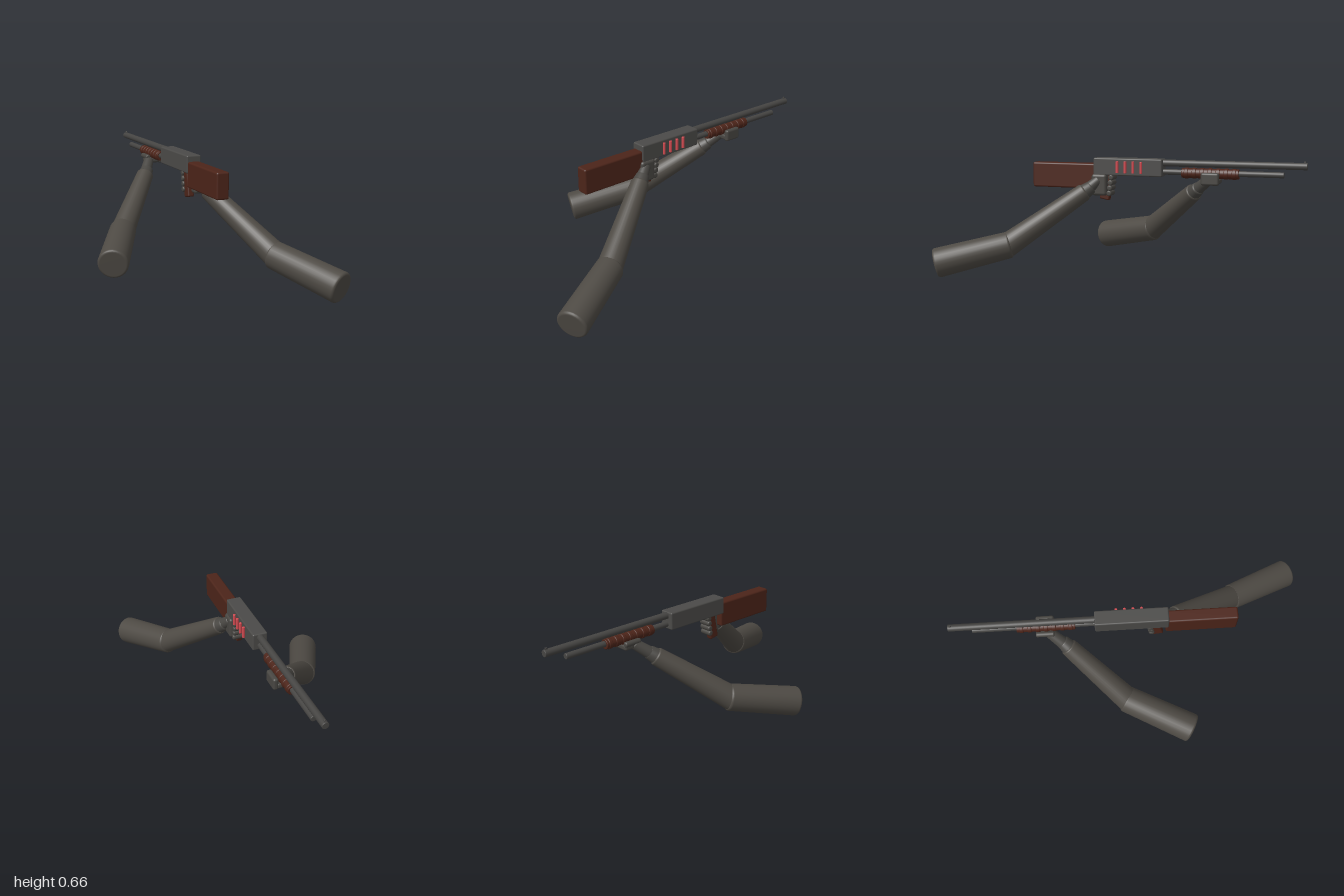
import * as THREE from 'three';
import { RoundedBoxGeometry } from 'three/addons/geometries/RoundedBoxGeometry.js';

const mat = (name, color) => {
  const m = new THREE.MeshStandardMaterial({ color });
  m.name = name;
  return m;
};
const V = (x, y, z) => new THREE.Vector3(x, y, z);
const GX = 0.024; // centre line of the gun

export function createModel() {
  const root = new THREE.Group();
  root.name = 'pumpGunWithArms';
  const sleeve = mat('sleeve', 0x4e4a44);
  const glove = mat('glove', 0x484642);
  const metal = mat('receiverMetal', 0x4b4a48);
  const steel = mat('barrelSteel', 0x454442);
  const wood = mat('wood', 0x4c2419);
  const shellRed = mat('shellRed', 0xcf4a50);

  const add = (name, geometry, material, x = 0, y = 0, z = 0) => {
    const m = new THREE.Mesh(geometry, material);
    m.name = name;
    m.position.set(x, y, z);
    root.add(m);
    return m;
  };
  const box = (name, material, w, h, d, x, y, z, r = 0.008) =>
    add(name, new RoundedBoxGeometry(w, h, d, 3, r), material, x, y, z);

  // Tapered round segment from a to b with rounded rims
  const segment = (name, material, a, b, ra, rb, bevel = 0.006) => {
    const len = a.distanceTo(b);
    const pts = [[0, 0], [ra - bevel, 0]];
    for (let i = 1; i <= 4; i++) {
      const t = (i / 4) * Math.PI / 2;
      pts.push([ra - bevel + bevel * Math.sin(t), bevel - bevel * Math.cos(t)]);
    }
    for (let i = 0; i <= 4; i++) {
      const t = (i / 4) * Math.PI / 2;
      pts.push([rb - bevel + bevel * Math.cos(t), len - bevel + bevel * Math.sin(t)]);
    }
    pts.push([0, len]);
    const g = new THREE.LatheGeometry(pts.map(p => new THREE.Vector2(...p)), 28);
    const m = add(name, g, material, a.x, a.y, a.z);
    m.quaternion.setFromUnitVectors(V(0, 1, 0), b.clone().sub(a).normalize());
    return m;
  };
  const tube = (name, material, r, y, z0, z1, bevel = 0.003) =>
    segment(name, material, V(GX, y, z0), V(GX, y, z1), r, r, bevel);

  // Gun body
  box('receiver', metal, 0.084, 0.098, 0.4, GX, 0.605, -0.02);
  box('stock', wood, 0.07, 0.142, 0.39, GX, 0.549, 0.36, 0.01);
  const grip = box('grip', wood, 0.036, 0.15, 0.058, GX - 0.004, 0.49, 0.112);
  grip.rotation.x = -0.2;
  tube('barrel', steel, 0.019, 0.632, -0.2, -1.0);
  tube('magazineTube', steel, 0.016, 0.583, -0.2, -0.88);
  box('frontSight', steel, 0.007, 0.014, 0.012, GX, 0.653, -0.985, 0.002);

  // Ribbed sliding fore-end
  tube('foreEnd', wood, 0.027, 0.58, -0.325, -0.64);
  for (let i = 0; i < 7; i++) {
    const z = -0.34 - i * 0.044;
    tube('foreEndRib', wood, 0.03, 0.58, z, z - 0.022, 0.004);
  }

  // Spare shells on the receiver side
  for (let i = 0; i < 4; i++) {
    const z = 0.036 - i * 0.046;
    segment('spareShell', shellRed, V(0.073, 0.572, z), V(0.073, 0.638, z), 0.008, 0.008, 0.002);
  }

  // Hand on the grip, with four fingers wrapping the front
  box('gripHand', glove, 0.052, 0.122, 0.09, 0.05, 0.502, 0.146, 0.016);
  for (let i = 0; i < 4; i++) {
    const y = 0.545 - i * 0.03, z = 0.077 + i * 0.004;
    segment('gripFinger', glove, V(-0.008, y, z), V(0.066, y, z), 0.016, 0.016, 0.008);
  }

  // Hand under the fore-end, fingers curled up the far side
  box('foreEndPalm', glove, 0.085, 0.032, 0.1, 0.022, 0.54, -0.49, 0.012);
  box('foreEndFingers', glove, 0.03, 0.068, 0.1, 0.068, 0.554, -0.49, 0.012);
  segment('foreEndThumb', glove, V(-0.015, 0.56, -0.44), V(-0.015, 0.56, -0.54), 0.015, 0.015, 0.008);

  // Arms: wrist, cuff, forearm and upper arm along one bent line
  const arm = (side, hand, cuff, elbow, end) => {
    const dir = elbow.clone().sub(cuff).normalize();
    const along = d => cuff.clone().addScaledVector(dir, d);
    segment(side + 'Wrist', glove, hand, along(0.01), 0.029, 0.036, 0.008);
    segment(side + 'CuffBand', glove, along(-0.045), along(0.015), 0.038, 0.044, 0.01);
    segment(side + 'Forearm', sleeve, cuff, elbow.clone().addScaledVector(dir, 0.025), 0.05, 0.069, 0.01);
    const back = elbow.clone().sub(end).normalize();
    segment(side + 'UpperArm', sleeve, elbow.clone().addScaledVector(back, 0.02), end, 0.075, 0.083, 0.014);
  };
  arm('left', V(0.052, 0.53, 0.15), V(0.09, 0.465, 0.22), V(0.307, 0.172, 0.605), V(0.48, 0.081, 0.961));
  arm('right', V(0.0, 0.545, -0.47), V(-0.06, 0.468, -0.375), V(-0.31, 0.208, -0.06), V(-0.48, 0.126, 0.297));

  return root;
}
